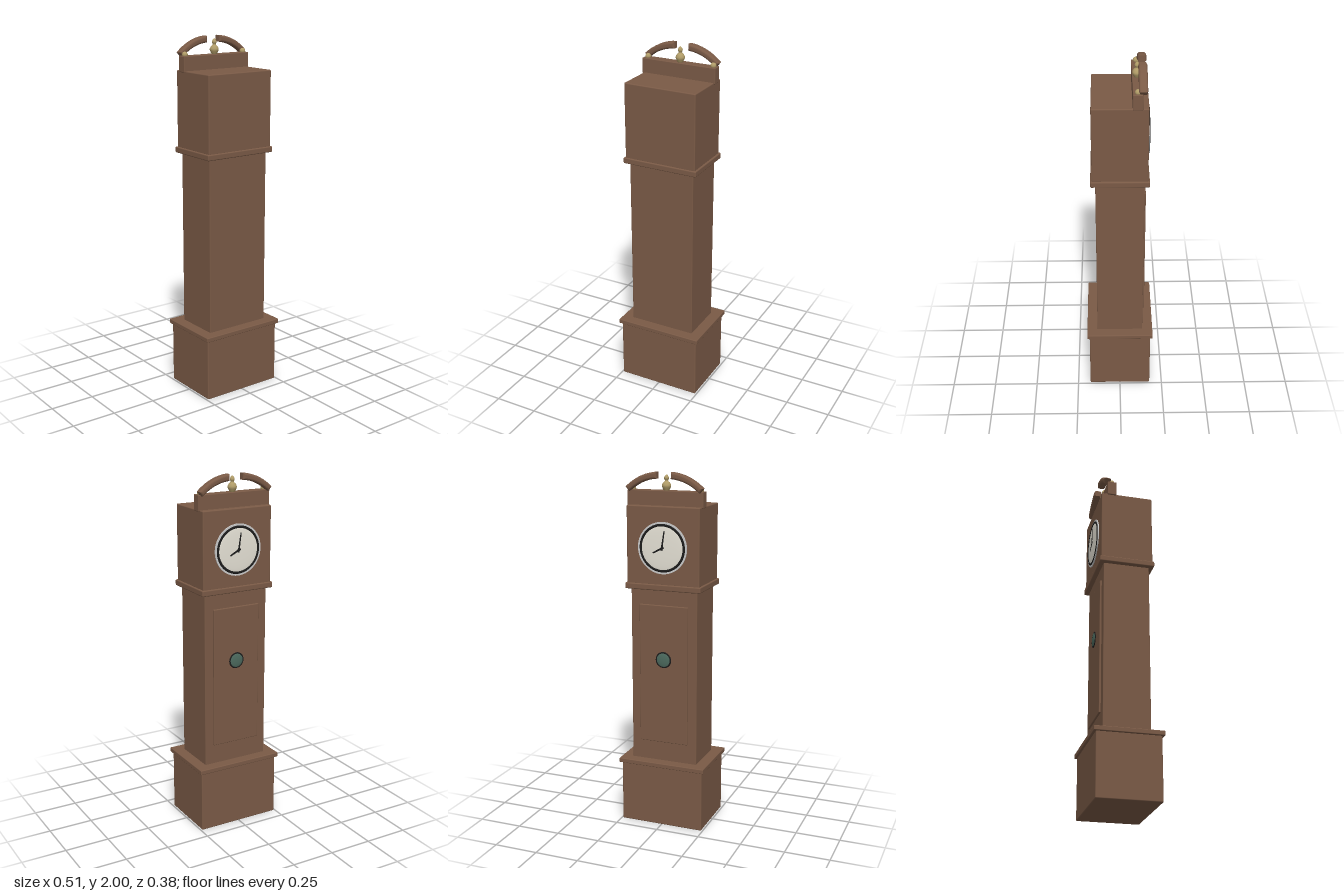
import * as THREE from 'three';
import { RoundedBoxGeometry } from 'three/addons/geometries/RoundedBoxGeometry.js';

const wood = new THREE.MeshStandardMaterial({ color: 0x7a5a46 });
const brass = new THREE.MeshStandardMaterial({ color: 0xb09c68 });
const ivory = new THREE.MeshStandardMaterial({ color: 0xe6e2d6 });
const silver = new THREE.MeshStandardMaterial({ color: 0xcccccc });
const black = new THREE.MeshStandardMaterial({ color: 0x1c1c1c });
const green = new THREE.MeshStandardMaterial({ color: 0x4c6a5e });

const v2 = (x, y) => new THREE.Vector2(x, y);

export function createModel() {
  const clock = new THREE.Group();
  clock.name = 'longcaseClock';

  const add = (name, geometry, material, x = 0, y = 0, z = 0, parent = clock) => {
    const mesh = new THREE.Mesh(geometry, material);
    mesh.name = name;
    mesh.position.set(x, y, z);
    parent.add(mesh);
    return mesh;
  };
  // Softly rounded wooden box between two heights and two depths
  const block = (name, w, y0, y1, z0, z1, r = 0.006) =>
    add(name, new RoundedBoxGeometry(w, y1 - y0, z1 - z0, 3, r), wood, 0, (y0 + y1) / 2, (z0 + z1) / 2);

  // Case
  block('base', 0.484, 0, 0.357, -0.177, 0.177);
  block('baseMoulding', 0.51, 0.352, 0.378, -0.19, 0.19, 0.004);
  block('trunk', 0.386, 0.37, 1.375, -0.131, 0.131, 0.004);
  block('trunkMoulding', 0.44, 1.367, 1.4, -0.158, 0.157);
  block('hood', 0.42, 1.395, 1.822, -0.149, 0.149);
  block('pedimentPanel', 0.436, 1.815, 1.902, -0.116, -0.064, 0.004);
  block('door', 0.284, 0.49, 1.282, -0.141, -0.125, 0.004);

  // Curved pediment arms: an arched band, bevelled round and mirrored
  const upper = new THREE.QuadraticBezierCurve(v2(0.203, 1.918), v2(0.135, 1.977), v2(0.053, 1.987)).getPoints(16);
  const lower = new THREE.QuadraticBezierCurve(v2(0.199, 1.913), v2(0.135, 1.967), v2(0.053, 1.976)).getPoints(16);
  const armGeo = new THREE.ExtrudeGeometry(new THREE.Shape([...upper, ...lower.reverse()]), {
    depth: 0.022, bevelEnabled: true, bevelThickness: 0.012, bevelSize: 0.013, bevelSegments: 5,
  });
  add('leftPedimentArm', armGeo, wood, 0, 0, -0.128);
  const rightArm = add('rightPedimentArm', armGeo, wood, 0, 0, -0.106);
  rightArm.rotation.y = Math.PI;

  // Brass ornaments
  const finialProfile = new THREE.SplineCurve([
    v2(0.012, 1.898), v2(0.018, 1.908), v2(0.025, 1.926), v2(0.019, 1.942),
    v2(0.009, 1.953), v2(0.013, 1.966), v2(0.009, 1.978), v2(0, 1.987),
  ]).getPoints(32).map(p => v2(Math.max(0, p.x), p.y));
  add('finial', new THREE.LatheGeometry(finialProfile, 28), brass, 0, 0, -0.09);
  for (const s of [1, -1]) {
    add(s > 0 ? 'leftBall' : 'rightBall', new THREE.SphereGeometry(0.016, 20, 14), brass, s * 0.195, 1.908, -0.09);
  }

  // Dial, built facing +z and then turned to the door side
  const face = new THREE.Group();
  face.name = 'clockFace';
  face.position.set(0, 1.6, -0.147);
  face.rotation.y = Math.PI;
  clock.add(face);

  const disc = (name, r, h, z, material, parent = face) => {
    const mesh = add(name, new THREE.CylinderGeometry(r, r, h, 56), material, 0, 0, z, parent);
    mesh.rotation.x = Math.PI / 2;
    return mesh;
  };
  const dome = (r, h, n = 12) => {
    const pts = [];
    for (let i = 0; i <= n; i++) {
      const a = (i / n) * Math.PI / 2;
      pts.push(v2(i === n ? 0 : r * Math.cos(a), h * Math.sin(a)));
    }
    return new THREE.LatheGeometry(pts, 48).rotateX(Math.PI / 2);
  };
  disc('dialRim', 0.141, 0.012, 0.002, silver);
  const ring = add('dialRing', new THREE.TorusGeometry(0.124, 0.007, 10, 56), black, 0, 0, 0.008, face);
  ring.scale.z = 0.6;
  add('dial', dome(0.121, 0.005), ivory, 0, 0, 0.008, face);

  // Hands: thin tapered blades with a short tail
  const hand = (name, length, width, angle, z) => {
    const blade = new THREE.Shape([v2(-width, -0.012), v2(width, -0.012), v2(width * 0.6, length), v2(-width * 0.6, length)]);
    const mesh = add(name, new THREE.ExtrudeGeometry(blade, { depth: 0.002, bevelEnabled: false }), black, 0, 0, z, face);
    mesh.rotation.z = angle;
  };
  hand('minuteHand', 0.095, 0.005, -0.15, 0.0135);
  hand('hourHand', 0.058, 0.006, 2.05, 0.013);
  disc('handPivot', 0.008, 0.006, 0.013, black);

  // Round window in the door
  const windowGroup = new THREE.Group();
  windowGroup.name = 'doorWindow';
  windowGroup.position.set(0, 0.975, -0.141);
  windowGroup.rotation.y = Math.PI;
  clock.add(windowGroup);
  const windowRim = add('windowRim', new THREE.TorusGeometry(0.041, 0.005, 10, 40), black, 0, 0, 0, windowGroup);
  windowRim.scale.z = 0.8;
  add('windowGlass', dome(0.042, 0.008), green, 0, 0, 0, windowGroup);

  return clock;
}
